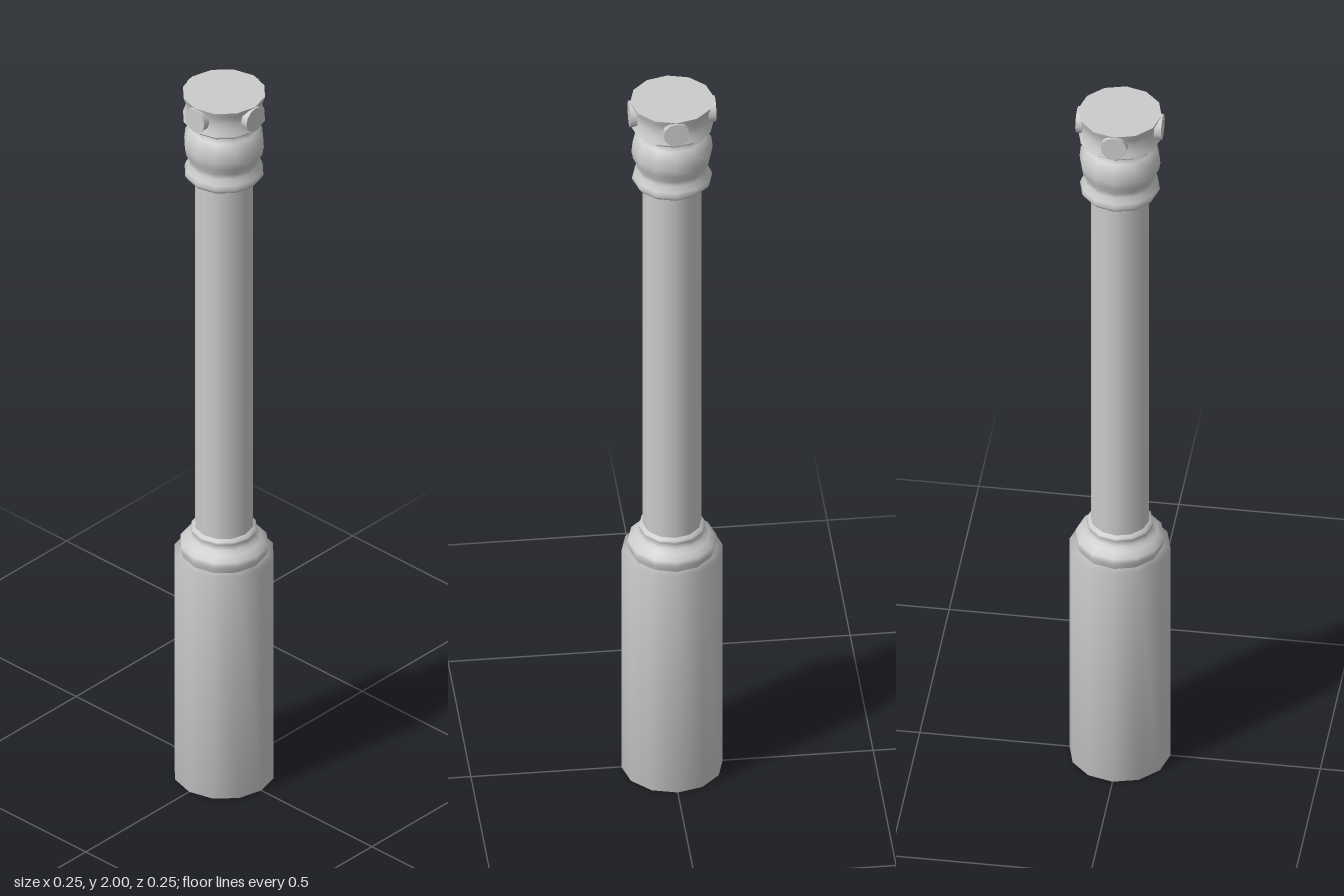
import * as THREE from 'three';

const SIDES = 12;
const material = new THREE.MeshStandardMaterial({ color: 0xcccccc });

// Turned part from [radius, height] pairs listed bottom to top
function turned(name, profile) {
  const points = profile.map(([r, y]) => new THREE.Vector2(r, y));
  const mesh = new THREE.Mesh(new THREE.LatheGeometry(points, SIDES), material);
  mesh.name = name;
  return mesh;
}

export function createModel() {
  const group = new THREE.Group();
  group.name = 'column';

  // Wide pedestal, closed underneath, shaded softly over its edges
  group.add(turned('pedestal', [[0, 0], [0.126, 0], [0.126, 0.65], [0.07, 0.65]]));

  // Moulded collar where the shaft meets the pedestal
  group.add(turned('baseMoulding', [
    [0.105, 0.65], [0.111, 0.668], [0.11, 0.682], [0.094, 0.692], [0.083, 0.703],
    [0.079, 0.712], [0.083, 0.718], [0.082, 0.725], [0.073, 0.73],
  ]));

  // Long plain shaft
  group.add(turned('shaft', [[0.073, 0.7], [0.073, 1.78]]));

  // Bulging capital with a flared lower ring and a narrow neck
  group.add(turned('capital', [
    [0.07, 1.76], [0.094, 1.76], [0.1, 1.77], [0.096, 1.782], [0.087, 1.797],
    [0.087, 1.81], [0.097, 1.83], [0.101, 1.852], [0.098, 1.88], [0.086, 1.9],
    [0.074, 1.908], [0.084, 1.913], [0.085, 1.921], [0.078, 1.926], [0.078, 1.935],
  ]));

  // Waisted top block
  group.add(turned('capSide', [
    [0.104, 1.93], [0.101, 1.938], [0.097, 1.95], [0.095, 1.965],
    [0.097, 1.98], [0.102, 1.992], [0.104, 2],
  ]));
  group.add(turned('capUnderside', [[0, 1.93], [0.104, 1.93]]));
  group.add(turned('capTop', [[0.104, 2], [0, 2]]));

  // Round bosses on the four sides of the top block
  const boss = new THREE.CylinderGeometry(0.033, 0.033, 0.018, SIDES);
  boss.rotateX(Math.PI / 2).translate(0, 1.965, 0.098);
  for (let i = 0; i < 4; i++) {
    const mesh = new THREE.Mesh(boss, material);
    mesh.name = 'boss' + (i + 1);
    mesh.rotation.y = i * Math.PI / 2;
    group.add(mesh);
  }
  return group;
}
